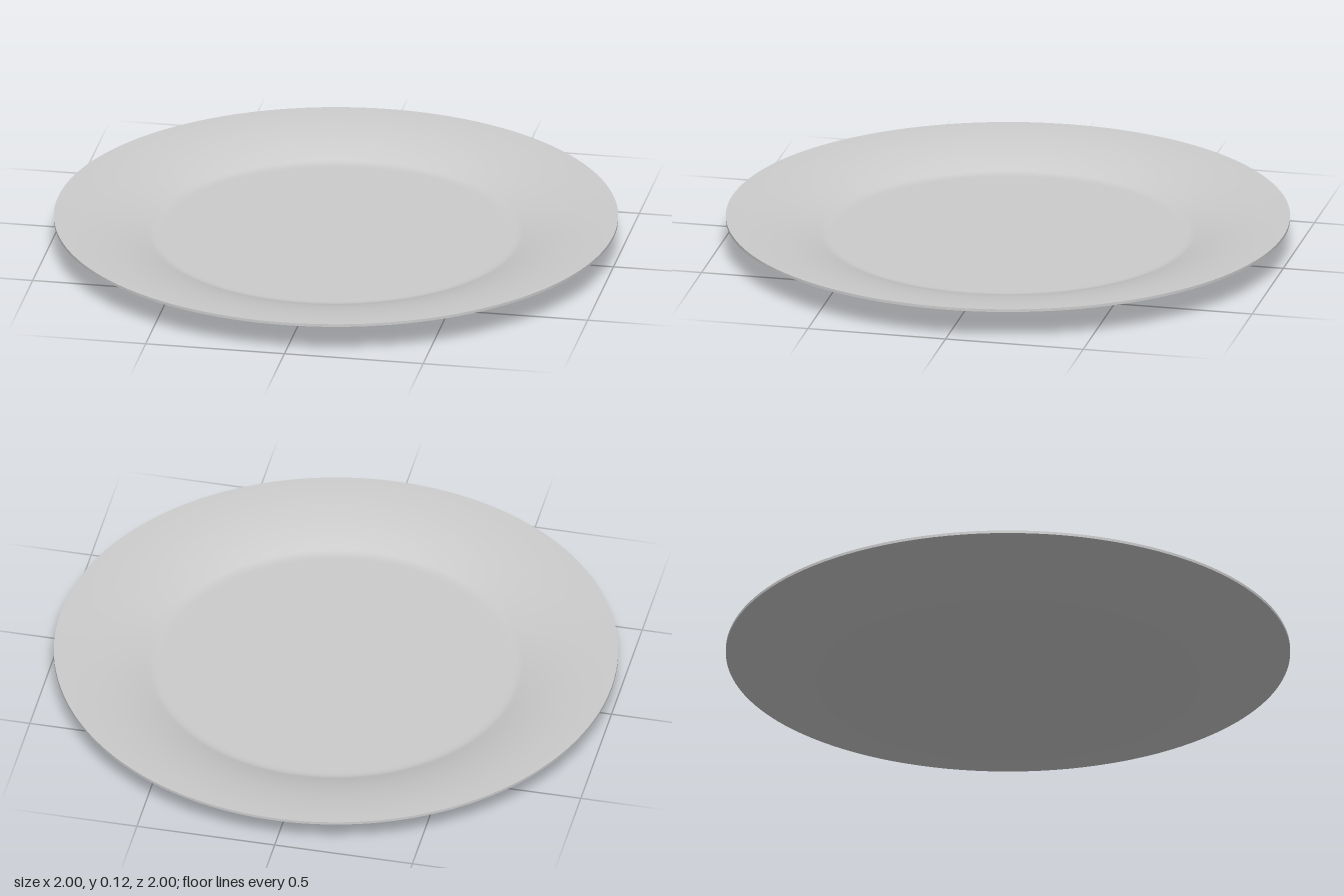
import * as THREE from 'three';

const SEGMENTS = 128;

export function createModel() {
  const plate = new THREE.Group();
  plate.name = 'plate';
  const material = new THREE.MeshStandardMaterial({ color: 0xcccccc });

  // Each surface is its own lathe so the edges between them stay sharp
  const turned = (name, points) => {
    const mesh = new THREE.Mesh(new THREE.LatheGeometry(points, SEGMENTS), material);
    mesh.name = name;
    plate.add(mesh);
  };
  const vec = (x, y) => new THREE.Vector2(x, y);

  // Underside: flat foot, straight flared wall, thin lip
  turned('foot', [vec(0, 0), vec(0.68, 0)]);
  turned('outerWall', [vec(0.68, 0), vec(0.84, 0.055), vec(1, 0.11)]);
  turned('lip', [vec(1, 0.11), vec(1, 0.12)]);

  // Upper side: rim that steepens inward, then a small fillet into the flat well
  const rim = new THREE.CubicBezierCurve(
    vec(1, 0.12), vec(0.87, 0.115), vec(0.76, 0.095), vec(0.66, 0.056));
  const fillet = new THREE.QuadraticBezierCurve(
    vec(0.66, 0.056), vec(0.645, 0.05), vec(0.62, 0.05));
  turned('rimAndWell', [
    ...rim.getPoints(16),
    ...fillet.getPoints(5).slice(1),
    vec(0.6, 0.05),
    vec(0, 0.05),
  ]);

  return plate;
}
